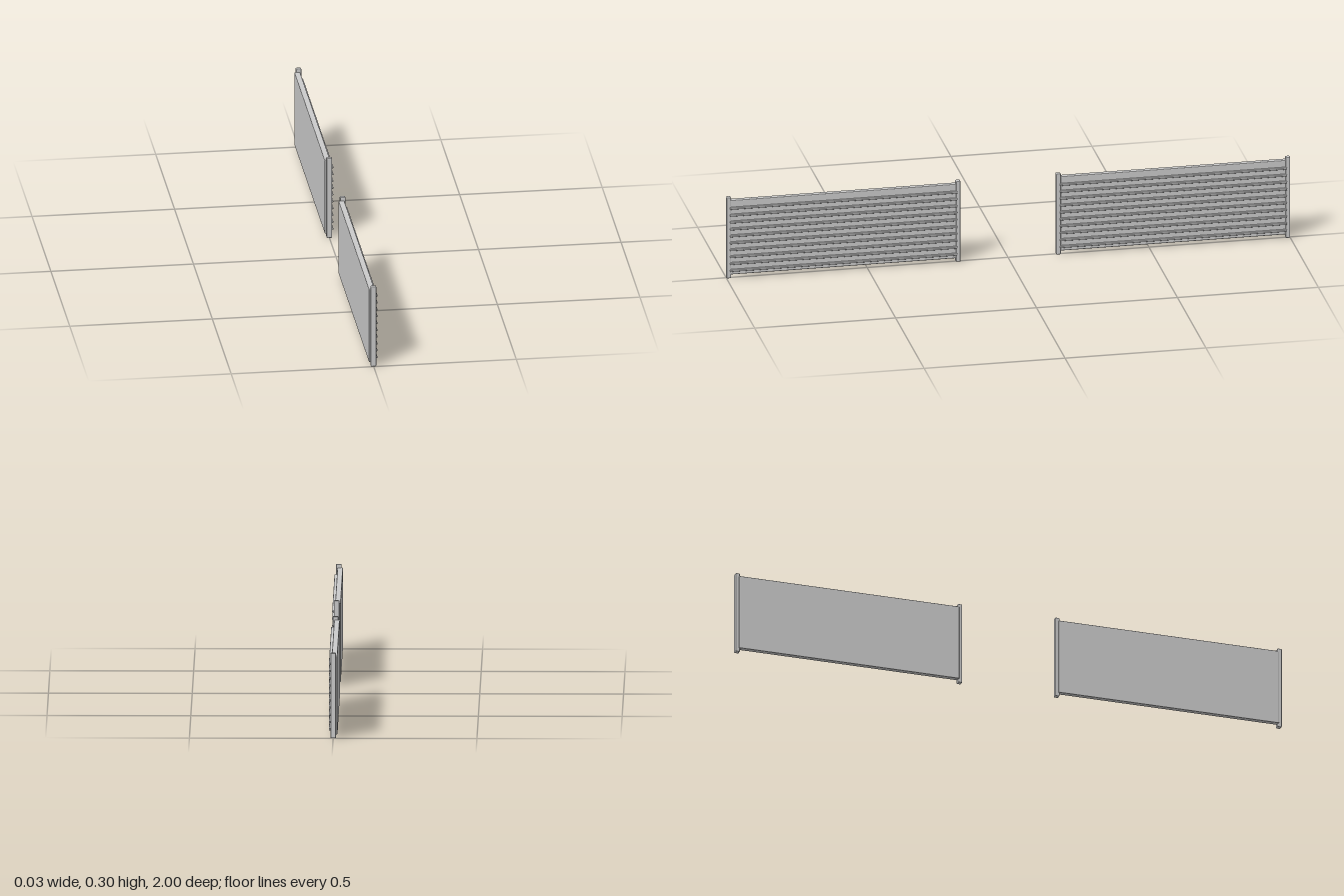
import * as THREE from 'three';
import { RoundedBoxGeometry } from 'three/addons/geometries/RoundedBoxGeometry.js';

const material = new THREE.MeshStandardMaterial({ color: 0xcccccc });

// Softly bevelled box given by its minimum and maximum corners
function block(name, min, max, bevel) {
  const size = max.map((v, i) => v - min[i]);
  const mesh = new THREE.Mesh(new RoundedBoxGeometry(...size, 2, bevel), material);
  mesh.name = name;
  mesh.position.set(...max.map((v, i) => (v + min[i]) / 2));
  return mesh;
}

// One fence panel, centred on z = 0
function createPanel(name) {
  const half = 0.415, post = 0.016, inner = half - post;
  const panel = new THREE.Group();
  panel.name = name;

  // Backing board, standing slightly proud of the posts at the back
  panel.add(block('board', [-0.015, 0.012, -inner - 0.004], [0.005, 0.288, inner + 0.004], 0.003));

  // End posts
  for (const s of [-1, 1]) {
    const z = s * (half - post / 2);
    panel.add(block('post', [-0.01, 0, z - post / 2], [0.0095, 0.3, z + post / 2], 0.003));
  }

  // Horizontal slats on the face
  for (let i = 0; i < 10; i++) {
    const y = 0.029 + i * 0.0257;
    panel.add(block('slat', [0.004, y - 0.0035, -inner - 0.004], [0.015, y + 0.0035, inner + 0.004], 0.002));
  }
  return panel;
}

export function createModel() {
  const model = new THREE.Group();
  model.name = 'slattedPanels';
  for (const s of [-1, 1]) {
    const panel = createPanel(s > 0 ? 'frontPanel' : 'backPanel');
    panel.position.z = s * 0.585;
    model.add(panel);
  }
  return model;
}
